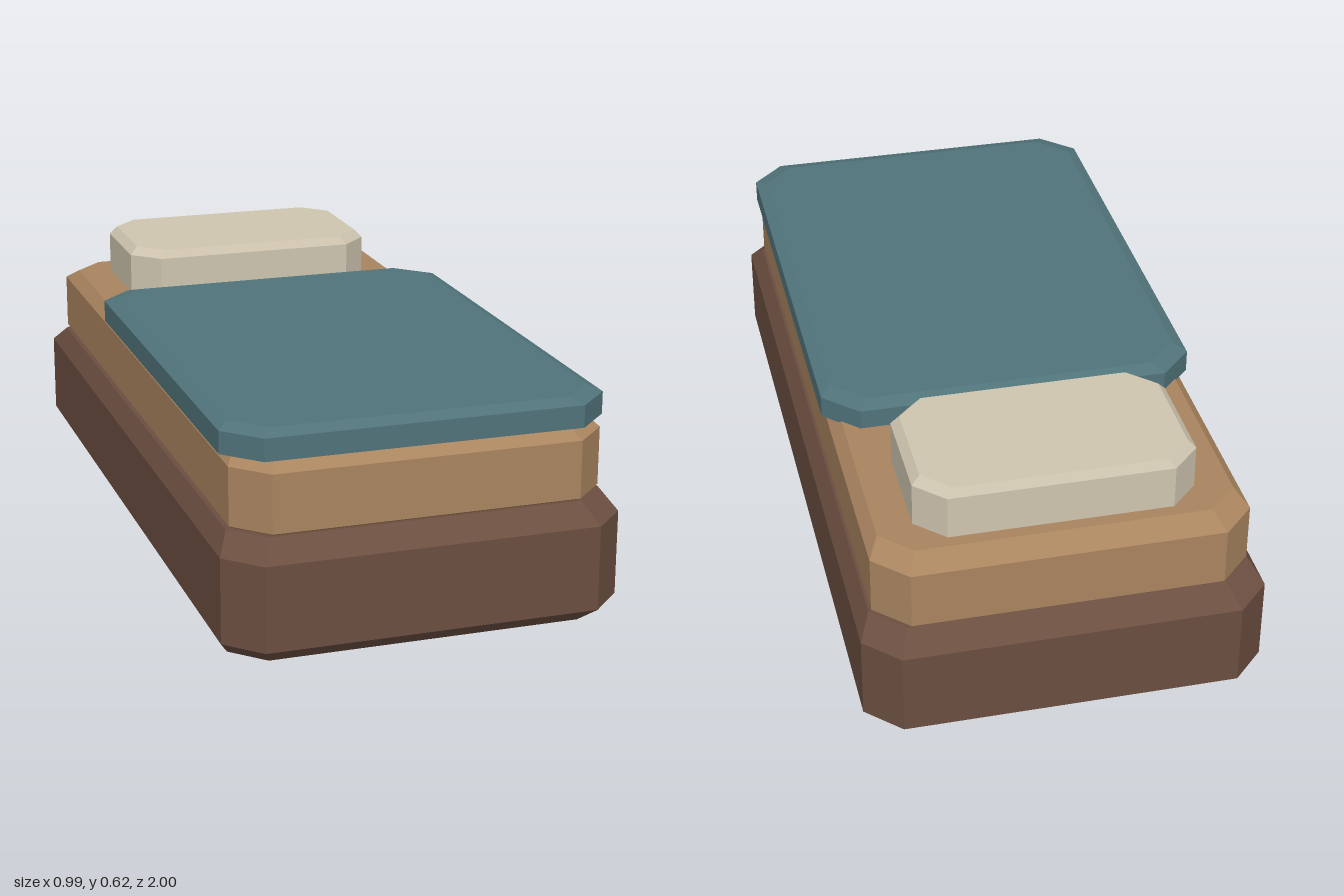
import * as THREE from 'three';

// Octagonal slab with cut corners; its top and bottom rims are bevelled by shrinking the outline.
function slab(name, color, { hx, hz, cut, y0, y1, bevel, z = 0 }) {
  const outline = [
    [hx, hz - cut], [hx, cut - hz], [hx - cut, -hz], [cut - hx, -hz],
    [-hx, cut - hz], [-hx, hz - cut], [cut - hx, hz], [hx - cut, hz],
  ];
  const n = outline.length;
  const levels = [[y0, 0.94], [y0 + bevel, 1], [y1 - bevel, 1], [y1, 0.94]];
  const positions = [];
  for (const [y, s] of levels) {
    for (const [px, pz] of outline) positions.push(px * s, y, pz * s + z);
  }
  const index = [];
  // Side bands
  for (let r = 0; r < levels.length - 1; r++) {
    for (let i = 0; i < n; i++) {
      const a = r * n + i, b = r * n + (i + 1) % n;
      index.push(a, b, b + n, a, b + n, a + n);
    }
  }
  // Flat caps
  const top = (levels.length - 1) * n;
  for (let i = 1; i < n - 1; i++) {
    index.push(0, i + 1, i, top, top + i, top + i + 1);
  }
  const indexed = new THREE.BufferGeometry();
  indexed.setAttribute('position', new THREE.Float32BufferAttribute(positions, 3));
  indexed.setIndex(index);
  const geometry = indexed.toNonIndexed();
  geometry.computeVertexNormals();
  const mesh = new THREE.Mesh(geometry, new THREE.MeshStandardMaterial({ color, flatShading: true }));
  mesh.name = name;
  return mesh;
}

export function createModel() {
  const bed = new THREE.Group();
  bed.name = 'bed';
  bed.add(
    slab('bedBase', 0x6b4e40, { hx: 0.496, hz: 1, cut: 0.083, y0: 0, y1: 0.305, bevel: 0.046 }),
    slab('mattress', 0xa9845f, { hx: 0.461, hz: 0.95, cut: 0.081, y0: 0.285, y1: 0.49, bevel: 0.03 }),
    slab('blanket', 0x50737a, { hx: 0.476, hz: 0.655, cut: 0.084, y0: 0.472, y1: 0.552, bevel: 0.012, z: 0.275 }),
    slab('pillow', 0xcfc5b0, { hx: 0.344, hz: 0.2, cut: 0.07, y0: 0.468, y1: 0.622, bevel: 0.022, z: -0.661 }),
  );
  return bed;
}
